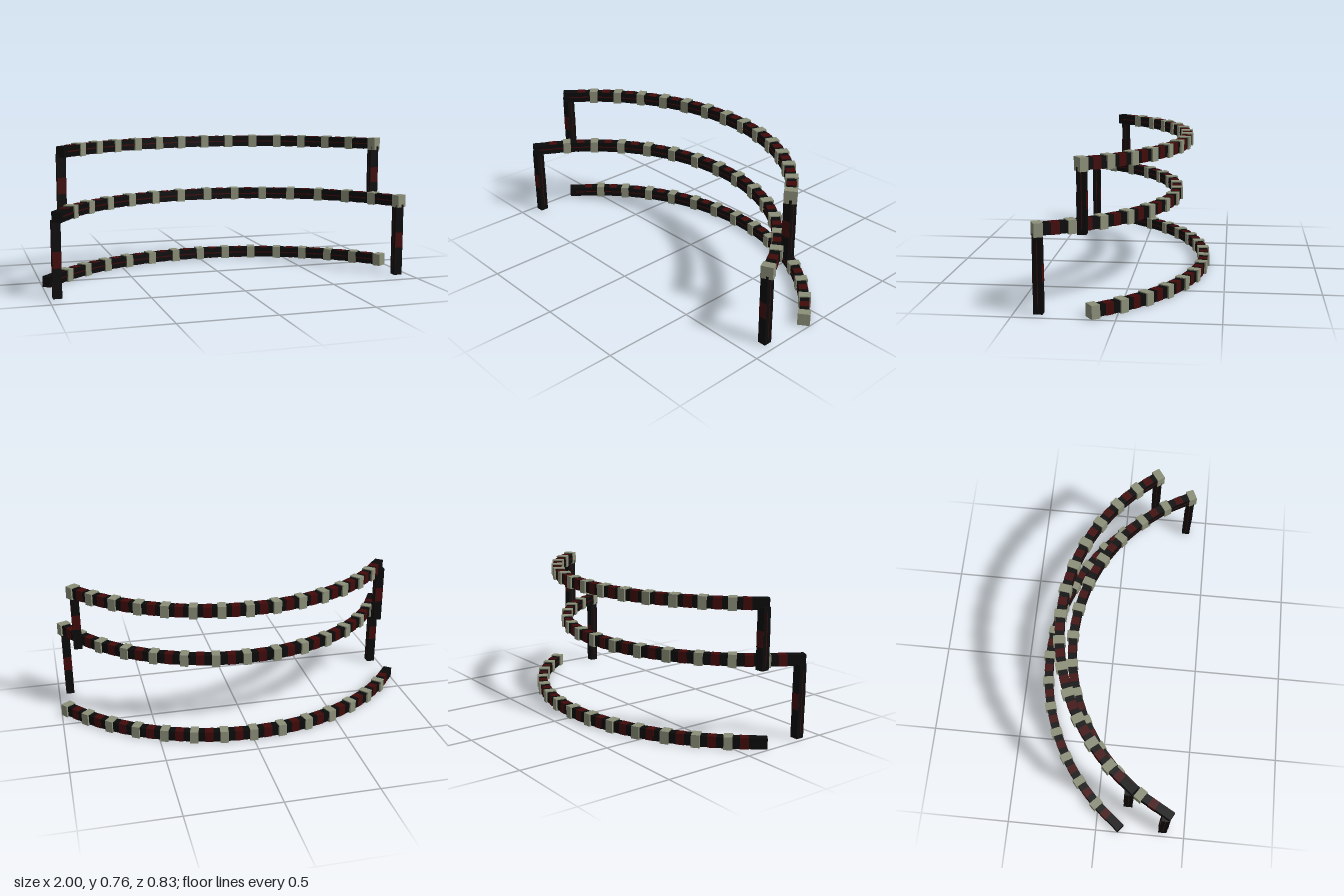
import * as THREE from 'three';

const black = new THREE.MeshStandardMaterial({ color: 0x0b0b0b });
black.name = 'black';
const darkRed = new THREE.MeshStandardMaterial({ color: 0x420a0a });
darkRed.name = 'dark red';
const stone = new THREE.MeshStandardMaterial({ color: 0x8c9079 });
stone.name = 'grey green';

function box(parent, name, material, size, pos = [0, 0, 0]) {
  const mesh = new THREE.Mesh(new THREE.BoxGeometry(...size), material);
  mesh.name = name;
  mesh.position.set(...pos);
  parent.add(mesh);
  return mesh;
}

const SEGMENTS = 14;
const BEAM_H = 0.057, BEAM_W = 0.048;

// Curved rail: straight beam segments along an arc, with a collar at each joint
function rail(name, y, halfWidth, apexZ, endZ) {
  const group = new THREE.Group();
  group.name = name;
  const sag = endZ - apexZ;
  const R = (halfWidth ** 2 + sag ** 2) / (2 * sag);
  const half = Math.asin(halfWidth / R);
  const step = (2 * half) / SEGMENTS;
  const place = (obj, a, r) => {
    obj.position.set(r * Math.sin(a), y, apexZ + R - r * Math.cos(a));
    obj.rotation.y = -a;
    group.add(obj);
  };

  for (let i = 0; i < SEGMENTS; i++) {
    const a = -half + (i + 0.5) * step;
    const chord = 2 * R * Math.sin(step / 2);
    const extra = i === 0 ? 0.035 : 0.006; // free end runs past the last joint
    const segment = new THREE.Group();
    segment.name = 'railSegment';
    box(segment, 'beam', black, [chord + extra, BEAM_H, BEAM_W], [-extra / 2, 0, 0]);
    // Red band on the outer, top and bottom faces
    box(segment, 'redBand', darkRed, [0.045, BEAM_H + 0.003, BEAM_W], [0, 0, -0.0015]);
    // Thin red line on the inner face
    box(segment, 'redLine', darkRed, [chord, 0.006, 0.002], [0, 0, BEAM_W / 2 + 0.0005]);
    place(segment, a, R * Math.cos(step / 2));

    const collar = box(group, 'collar', stone, [0.045, 0.068, 0.064]);
    place(collar, -half + (i + 1) * step, R);
  }
  return group;
}

// Square post with red bands front and back and thin lines on its sides
function post(name, x, z, y0, y1) {
  const group = new THREE.Group();
  group.name = name;
  const h = y1 - y0, w = 0.046;
  group.position.set(x, (y0 + y1) / 2, z);
  box(group, 'postBody', black, [w, h, w]);
  box(group, 'postBand', darkRed, [w - 0.001, 0.085, w + 0.003]);
  box(group, 'postLine', darkRed, [w + 0.002, h * 0.85, 0.004]);
  return group;
}

export function createModel() {
  const model = new THREE.Group();
  model.name = 'curvedRailing';
  model.add(
    rail('bottomRail', 0.036, 0.961, -0.378, 0.112),
    rail('middleRail', 0.42, 0.94, -0.223, 0.378),
    rail('topRail', 0.724, 0.88, -0.277, 0.173),
    post('lowerPostRight', -0.957, 0.377, 0.005, 0.4),
    post('lowerPostLeft', 0.936, 0.377, 0.005, 0.4),
    post('upperPostRight', -0.896, 0.171, 0.387, 0.71),
    post('upperPostLeft', 0.877, 0.171, 0.387, 0.71)
  );
  return model;
}
